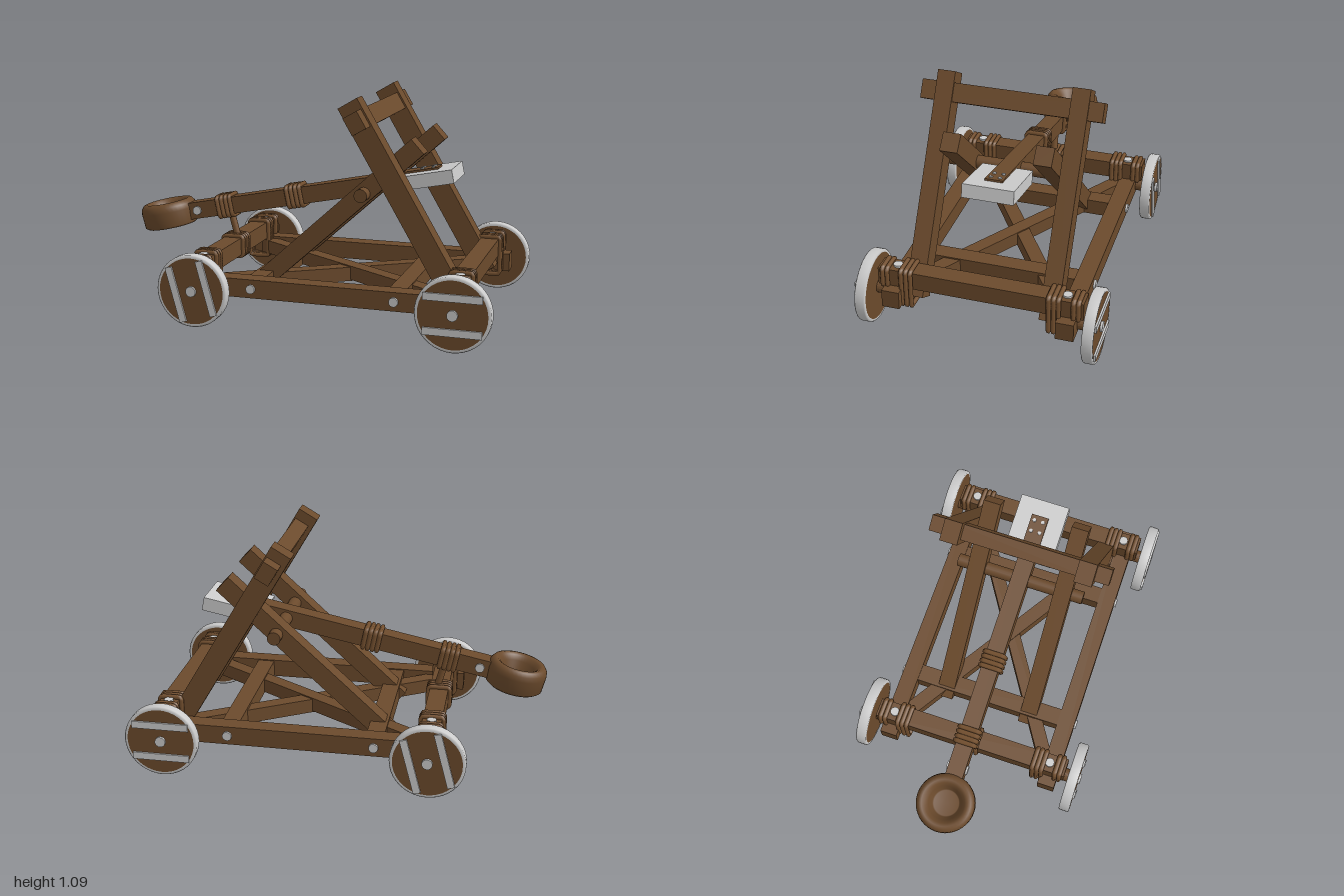
import * as THREE from 'three';

const wood = new THREE.MeshStandardMaterial({ color: 0x6b4a2c, flatShading: true });
const turned = new THREE.MeshStandardMaterial({ color: 0x6b4a2c, side: THREE.DoubleSide });
const rope = new THREE.MeshStandardMaterial({ color: 0x74502f });
const metal = new THREE.MeshStandardMaterial({ color: 0xcccccc });
const X = new THREE.Vector3(1, 0, 0), Y = new THREE.Vector3(0, 1, 0);

function add(parent, name, geo, mat, x = 0, y = 0, z = 0) {
  const m = new THREE.Mesh(geo, mat);
  m.name = name;
  m.position.set(x, y, z);
  parent.add(m);
  return m;
}

// Square timber from a to b
function beam(parent, name, a, b, h = 0.09, w = 0.085) {
  const p = new THREE.Vector3(...a), q = new THREE.Vector3(...b);
  const d = q.clone().sub(p);
  const m = add(parent, name, new THREE.BoxGeometry(d.length(), h, w), wood);
  m.position.copy(p).add(q).multiplyScalar(0.5);
  m.quaternion.setFromUnitVectors(X, d.normalize());
  return m;
}

// Round bar from a to b
function rod(parent, name, a, b, r, mat) {
  const p = new THREE.Vector3(...a), q = new THREE.Vector3(...b);
  const d = q.clone().sub(p);
  const m = add(parent, name, new THREE.CylinderGeometry(r, r, d.length(), 18), mat);
  m.position.copy(p).add(q).multiplyScalar(0.5);
  m.quaternion.setFromUnitVectors(Y, d.normalize());
  return m;
}

// Rope turns around a timber running along x; w is the z size, h the y size
function lashing(parent, name, x, y, z, w, h, turns = 4, alongZ = false) {
  const g = new THREE.Group();
  g.name = name;
  const a = w / 2, b = h / 2, c = 0.012;
  const pts = [[a, b - c], [a - c, b], [c - a, b], [-a, b - c], [-a, c - b], [c - a, -b], [a - c, -b], [a, c - b]]
    .map(([pz, py]) => new THREE.Vector3(0, py, pz));
  const curve = new THREE.CatmullRomCurve3(pts, true, 'catmullrom', 0.15);
  const geo = new THREE.TubeGeometry(curve, 48, 0.012, 6, true);
  for (let i = 0; i < turns; i++) add(g, 'ropeTurn', geo, rope, (i - (turns - 1) / 2) * 0.023);
  g.position.set(x, y, z);
  if (alongZ) g.rotation.y = Math.PI / 2;
  parent.add(g);
}

// Wheel whose outer face looks along +z
function wheel(spin) {
  const g = new THREE.Group();
  g.name = 'wheel';
  const tyre = [[0.16, -0.026], [0.17, -0.026], [0.175, -0.02], [0.175, 0.02], [0.17, 0.026], [0.16, 0.026]];
  add(g, 'tyre', new THREE.LatheGeometry(tyre.map(p => new THREE.Vector2(...p)), 40), metal).rotation.x = Math.PI / 2;
  add(g, 'wheelDisc', new THREE.CylinderGeometry(0.163, 0.163, 0.05, 40), wood).rotation.x = Math.PI / 2;
  const straps = new THREE.Group();
  straps.name = 'wheelStraps';
  for (const s of [-1, 1]) add(straps, 'strap', new THREE.BoxGeometry(0.27, 0.034, 0.012), metal, 0, s * 0.08, 0.028);
  straps.rotation.z = spin;
  g.add(straps);
  rod(g, 'hubBolt', [0, 0, -0.03], [0, 0, 0.036], 0.025, metal);
  return g;
}

export function createModel() {
  const root = new THREE.Group();
  root.name = 'catapult';
  const body = new THREE.Group();
  body.name = 'body';
  body.position.set(0.041, 0, -0.005);
  body.rotation.y = THREE.MathUtils.degToRad(-23.2);
  root.add(body);

  // Base frame, mirrored left and right
  for (const s of [-1, 1]) {
    beam(body, 'sideBeam', [-0.72, 0.18, s * 0.415], [0.72, 0.18, s * 0.415]);
    for (const u of [-0.365, 0.33]) {
      rod(body, 'sideBolt', [u, 0.18, s * 0.44], [u, 0.18, s * 0.468], 0.022, metal);
    }
    // Leaning uprights and the struts that hold them
    beam(body, 'upright', [0.08, 1.065, s * 0.322], [0.615, 0.15, s * 0.322], 0.105);
    beam(body, 'strut', [0.385, 0.865, s * 0.22], [-0.41, 0.145, s * 0.22], 0.09);
  }
  for (const e of [-1, 1]) {
    beam(body, 'axleBeam', [e * 0.625, 0.268, -0.49], [e * 0.625, 0.268, 0.49], 0.088, 0.09);
    beam(body, 'diagonalBrace', [-0.6, 0.175 + e * 0.003, -e * 0.38], [0.6, 0.175 + e * 0.003, e * 0.38], 0.07, 0.07);
  }
  beam(body, 'rearTie', [-0.365, 0.18, -0.38], [-0.365, 0.18, 0.38], 0.08, 0.085);
  beam(body, 'frontTie', [0.33, 0.18, -0.38], [0.33, 0.18, 0.38], 0.08, 0.085);

  // Corners: bolts, lashings, axle stubs and wheels
  for (const e of [-1, 1]) for (const s of [-1, 1]) {
    rod(body, 'cornerBolt', [e * 0.625, 0.12, s * 0.405], [e * 0.625, 0.322, s * 0.405], 0.022, metal);
    lashing(body, 'cornerLashing', e * 0.625, 0.225, s * 0.352, 0.105, 0.19, 3, true);
    lashing(body, 'beamEndLashing', e * 0.625, 0.268, s * 0.455, 0.1, 0.098, 2, true);
    rod(body, 'axle', [e * 0.625, 0.175, s * 0.4], [e * 0.625, 0.175, s * 0.53], 0.032, wood);
    const w = wheel(e > 0 ? 0 : THREE.MathUtils.degToRad(105));
    w.position.set(e * 0.624, 0.175, s * 0.536);
    if (s < 0) w.rotation.y = Math.PI;
    body.add(w);
  }

  // Stop bar across the uprights
  const bar = add(body, 'stopBar', new THREE.BoxGeometry(0.075, 0.09, 0.87), wood, 0.135, 0.985, 0);
  bar.rotation.z = Math.atan2(0.535, 0.915);

  // Pivot and throwing arm
  rod(body, 'pivotBar', [0.13, 0.63, -0.32], [0.13, 0.63, 0.32], 0.032, turned);
  const arm = new THREE.Group();
  arm.name = 'throwingArm';
  arm.position.set(0.13, 0.63, 0);
  arm.rotation.z = Math.atan(0.2);
  body.add(arm);
  beam(arm, 'armTimber', [-1.03, 0, 0], [0.318, 0, 0], 0.085, 0.085);
  for (const x of [-0.81, -0.43]) lashing(arm, 'armLashing', x, 0, 0, 0.1, 0.1, 4);
  rod(arm, 'armBolt', [-0.965, 0, -0.052], [-0.965, 0, 0.052], 0.022, metal);
  add(arm, 'counterweight', new THREE.BoxGeometry(0.3, 0.066, 0.245), metal, 0.25, 0, 0);
  for (const x of [0.235, 0.29]) for (const z of [-0.022, 0.022]) {
    rod(arm, 'weightBolt', [x, -0.048, z], [x, 0.048, z], 0.009, metal);
  }

  // Round cup at the arm's end
  const cup = [[0, -0.062], [0.125, -0.062], [0.138, -0.052], [0.142, 0.02], [0.138, 0.045], [0.125, 0.062],
    [0.11, 0.066], [0.095, 0.058], [0.08, 0.035], [0.066, -0.005], [0.06, -0.012], [0, -0.012]];
  add(arm, 'cup', new THREE.LatheGeometry(cup.map(p => new THREE.Vector2(...p)), 40), turned, -1.142, 0, 0);

  // Rope that holds the arm down to the rear beam
  rod(body, 'holdDownRope', [-0.65, 0.45, 0], [-0.61, 0.3, 0], 0.017, rope);
  lashing(body, 'holdDownLashing', -0.625, 0.268, 0, 0.105, 0.102, 4, true);

  return root;
}
